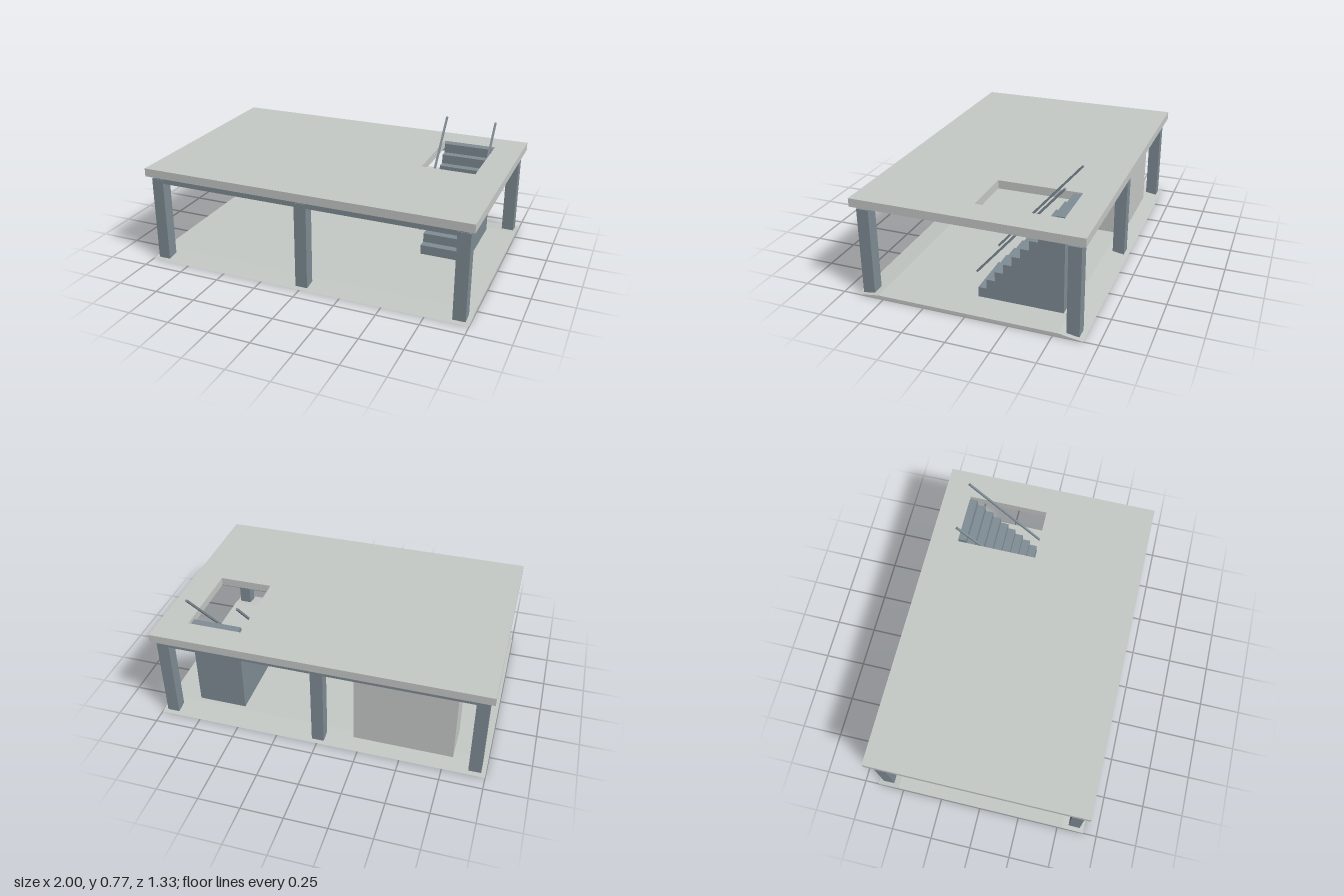
import * as THREE from 'three';

export function createModel() {
  const root = new THREE.Group();
  const mat = (name, color) => {
    const m = new THREE.MeshStandardMaterial({ color });
    m.name = name;
    return m;
  };
  const concrete = mat('paleConcrete', 0xc4c8c5);
  const slate = mat('slateSteel', 0x7f8c94);
  const navy = mat('navyPaint', 0x20406a);

  const add = (name, geometry, material, parent = root) => {
    const mesh = new THREE.Mesh(geometry, material);
    mesh.name = name;
    parent.add(mesh);
    return mesh;
  };
  // Box given by its minimum and maximum on each axis
  const box = (name, material, x0, x1, y0, y1, z0, z1, parent) => {
    const mesh = add(name, new THREE.BoxGeometry(x1 - x0, y1 - y0, z1 - z0), material, parent);
    mesh.position.set((x0 + x1) / 2, (y0 + y1) / 2, (z0 + z1) / 2);
    return mesh;
  };
  const group = (name) => {
    const g = new THREE.Group();
    g.name = name;
    root.add(g);
    return g;
  };
  const polygon = (points) => new THREE.Shape(points.map(([x, y]) => new THREE.Vector2(x, y)));

  // Profile in (-z, y), extruded along x from x0 to x1
  const alongX = (points, x0, x1) => {
    const g = new THREE.ExtrudeGeometry(polygon(points), { depth: x1 - x0, bevelEnabled: false });
    return g.rotateY(Math.PI / 2).translate(x0, 0, 0);
  };

  // Floor with shallow ramps at front and back
  add('floor', alongX([[-0.665, 0], [0.665, 0], [0.53, 0.02], [-0.53, 0.02]], -1, 1), concrete);

  // Roof slab with the stair opening
  const slab = polygon([[-1, -0.667], [1, -0.667], [1, 0.667], [-1, 0.667]]);
  slab.holes.push(new THREE.Path([[0.5, 0], [0.5, 0.5], [0.827, 0.5], [0.827, 0]]
    .map(([x, y]) => new THREE.Vector2(x, y))));
  add('roofSlab', new THREE.ExtrudeGeometry(slab, { depth: 0.05, bevelEnabled: false })
    .rotateX(-Math.PI / 2).translate(0, 0.55, 0), concrete);

  // Columns and the long beams they carry
  const frame = group('frame');
  for (const z of [-0.603, 0.603]) {
    for (const x of [-0.937, 0, 0.937]) {
      box('column', slate, x - 0.037, x + 0.037, 0.005, 0.53, z - 0.036, z + 0.036, frame);
    }
    box('beam', slate, -0.96, 0.96, 0.505, 0.55, z - 0.032, z + 0.032, frame);
  }

  // Solid staircase, ten steps
  const steps = [[0, 0.01]];
  for (let i = 0; i < 10; i++) {
    const y = 0.0225 + 0.0575 * (i + 1);
    steps.push([i * 0.05, y], [(i + 1) * 0.05, y]);
  }
  steps.push([0.5, 0.01]);
  add('staircase', alongX(steps.reverse(), 0.515, 0.812), slate);

  // Sloping handrails
  const rails = group('handrails');
  const low = new THREE.Vector3(0, 0.187, 0), high = new THREE.Vector3(0, 0.763, -0.498);
  const slope = Math.atan2(high.z - low.z, high.y - low.y);
  for (const x of [0.507, 0.82]) {
    const rail = add('handrail', new THREE.BoxGeometry(0.012, low.distanceTo(high), 0.012), slate, rails);
    rail.position.copy(low).add(high).multiplyScalar(0.5).setX(x);
    rail.rotation.x = slope;
  }

  // Ceiling lamps
  const lamps = group('ceilingLamps');
  for (const x of [-0.75, -0.25]) {
    for (const z of [-0.333, 0, 0.333]) {
      box('lamp', concrete, x - 0.11, x + 0.11, 0.54, 0.55, z - 0.02, z + 0.02, lamps);
    }
  }

  // Service block near the back
  box('serviceBlock', concrete, -0.8, -0.2, 0.015, 0.53, -0.57, -0.343);

  // Painted details on the front of the block: layer lifts each plate
  const panels = group('wallPanels');
  const plate = (name, material, x0, x1, y0, y1, layer = 1) =>
    box(name, material, x0, x1, y0, y1, -0.343, -0.343 + 0.003 * layer, panels);
  plate('tallPanel', navy, -0.735, -0.602, 0.037, 0.433);
  plate('tallPanel', navy, -0.405, -0.272, 0.037, 0.433);

  // Framed display with small grey blocks
  plate('displayFrame', navy, -0.585, -0.42, 0.275, 0.362);
  plate('displayFace', concrete, -0.578, -0.427, 0.282, 0.352, 2);
  plate('displayBlock', slate, -0.56, -0.522, 0.295, 0.343, 3);
  plate('displayBlock', slate, -0.512, -0.465, 0.307, 0.343, 3);
  plate('displayBlock', slate, -0.473, -0.447, 0.292, 0.31, 3);

  // Lower panel with two dashed lines
  plate('lowerPanel', navy, -0.588, -0.415, 0.16, 0.243);
  for (const y of [0.183, 0.23]) {
    for (let i = 0; i < 5; i++) {
      const x = -0.575 + i * 0.033;
      plate('dash', concrete, x, x + 0.018, y - 0.0025, y + 0.0025, 2);
    }
  }
  return root;
}
